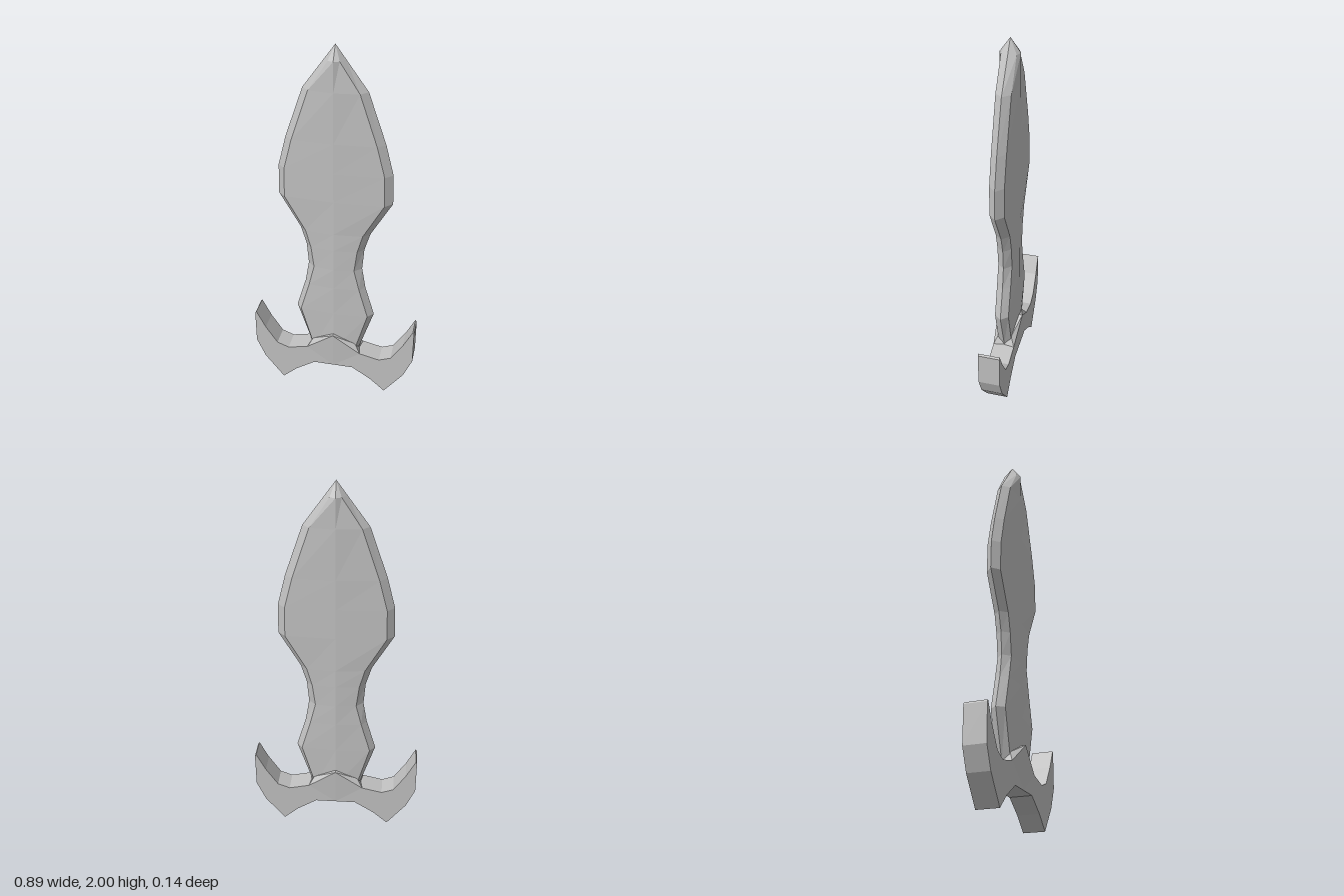
import * as THREE from 'three';

const metal = new THREE.MeshStandardMaterial({ color: 0xc0c0c0, flatShading: true });
metal.name = 'grey metal';

// Flat-shaded mesh from a list of triangles
function facetMesh(name, triangles) {
  const geometry = new THREE.BufferGeometry();
  geometry.setAttribute('position', new THREE.Float32BufferAttribute(triangles.flat(2), 3));
  geometry.computeVertexNormals();
  const mesh = new THREE.Mesh(geometry, metal);
  mesh.name = name;
  return mesh;
}

// Leaf-shaped blade: height, cutting edge half-width, bevel line half-width
function makeBlade() {
  const rows = [
    [0.25, 0.135, 0.115], [0.5, 0.215, 0.185], [0.67, 0.165, 0.137], [0.79, 0.145, 0.108],
    [0.91, 0.155, 0.123], [1.01, 0.185, 0.15], [1.2, 0.295, 0.257], [1.36, 0.291, 0.253],
    [1.52, 0.25, 0.212], [1.78, 0.16, 0.125], [1.93, 0.051, 0.028],
  ];
  const bevelZ = 0.037, ridgeZ = 0.05;
  const rings = rows.map(([y, e, i]) => [
    [e, y, 0], [i, y, bevelZ], [0, y, ridgeZ], [-i, y, bevelZ],
    [-e, y, 0], [-i, y, -bevelZ], [0, y, -ridgeZ], [i, y, -bevelZ],
  ]);
  const triangles = [];
  rings.forEach((ring, r) => {
    const above = rings[r + 1];
    ring.forEach((a, j) => {
      const k = (j + 1) % 8, b = ring[k];
      if (above) triangles.push([a, above[j], b], [b, above[j], above[k]]);
      else triangles.push([a, [0, 2, 0], b]);
    });
  });
  return facetMesh('blade', triangles);
}

// Crescent guard, outlined on one side and mirrored
function makeGuard() {
  const half = [
    [0.11, 0.143], [0.215, 0.075], [0.295, 0.003], [0.4, 0.14], [0.447, 0.25], [0.447, 0.44],
    [0.44, 0.45], [0.39, 0.35], [0.325, 0.25], [0.26, 0.225], [0.15, 0.25],
  ];
  const outline = [...half, ...half.map(([x, y]) => [-x, y]).reverse()];
  const shape = new THREE.Shape(outline.map(([x, y]) => new THREE.Vector2(x, y)));
  const geometry = new THREE.ExtrudeGeometry(shape, { depth: 0.116, bevelEnabled: false });
  geometry.translate(0, 0, -0.058);
  const mesh = new THREE.Mesh(geometry, metal);
  mesh.name = 'guard';
  return mesh;
}

// Raised pointed collar clasping both faces of the blade
function makeCollar() {
  const peak = [0, 0.362, 0.07], base = [0, 0.143, 0.058], side = [0.15, 0.25, 0.058];
  const inner = [0.12, 0.3, 0.036], centre = [0, 0.362, 0.048], end = [0.14, 0.25, 0];
  const quarter = [
    [base, side, peak], [peak, side, inner], [peak, inner, centre], [side, end, inner],
  ];
  const triangles = [];
  for (const sx of [1, -1]) for (const sz of [1, -1]) {
    for (const tri of quarter) {
      const t = tri.map(([x, y, z]) => [x * sx, y, z * sz]);
      triangles.push(sx * sz > 0 ? t : t.reverse());
    }
  }
  return facetMesh('collar', triangles);
}

export function createModel() {
  const model = new THREE.Group();
  model.name = 'dagger blade with guard';
  model.add(makeBlade(), makeGuard(), makeCollar());
  return model;
}
